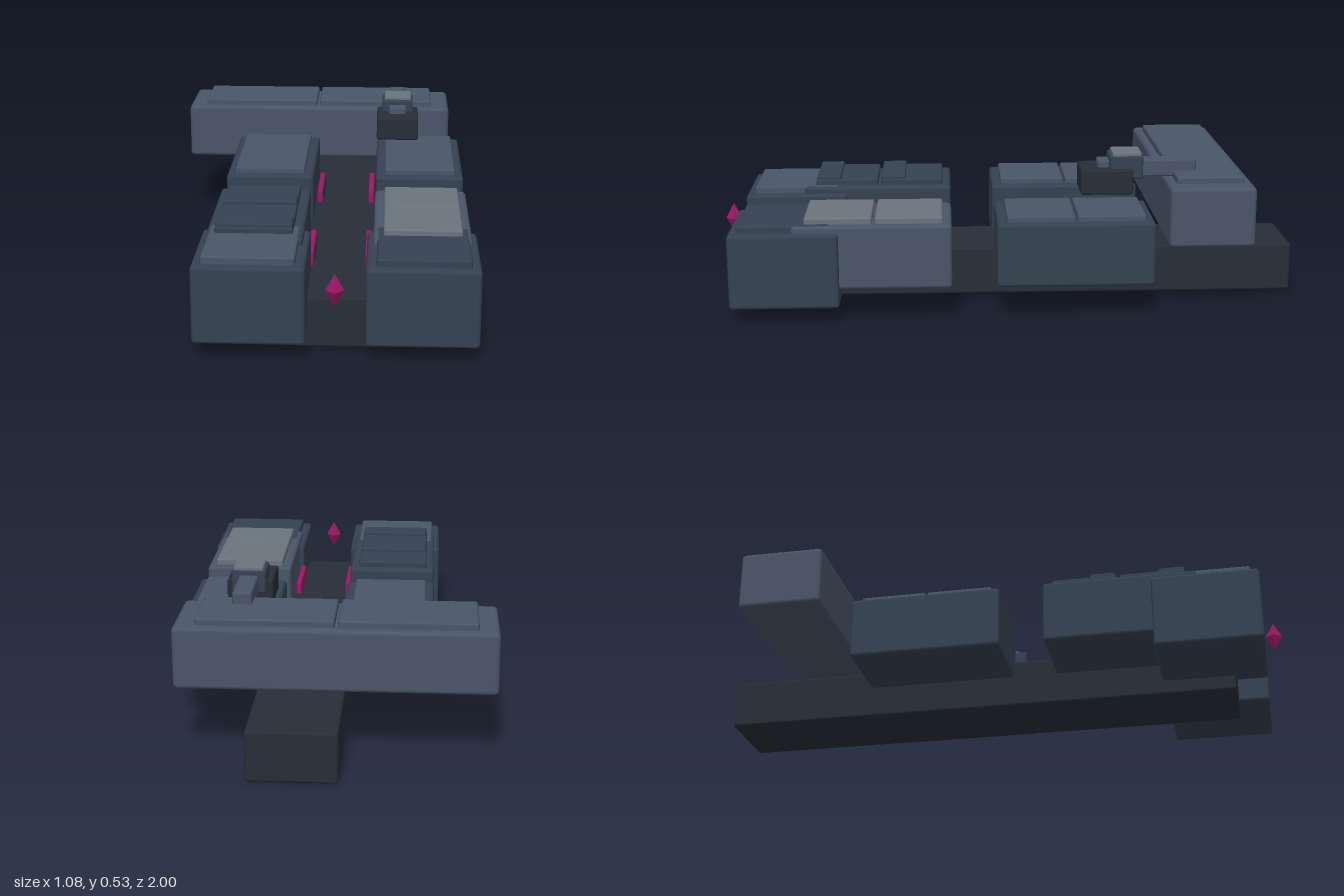
import * as THREE from 'three';
import { RoundedBoxGeometry } from 'three/addons/geometries/RoundedBoxGeometry.js';

const DARK = 0x272e37, SLATE = 0x354252, STEEL = 0x4a5568, GREY = 0x6b737d, PINK = 0x9d1765;
const materials = {};
const paint = (color) => (materials[color] ??= new THREE.MeshStandardMaterial({ color }));

// Chamfered box between two corners, given as [min, max] per axis
function block(parent, name, color, [x0, x1], [y0, y1], [z0, z1], chamfer = 0.012) {
  const geometry = new RoundedBoxGeometry(x1 - x0, y1 - y0, z1 - z0, 1, chamfer);
  const mesh = new THREE.Mesh(geometry, paint(color));
  mesh.position.set((x0 + x1) / 2, (y0 + y1) / 2, (z0 + z1) / 2);
  mesh.name = name;
  parent.add(mesh);
  return mesh;
}

export function createModel() {
  const model = new THREE.Group();
  model.name = 'modularShip';
  const axis = 0.093; // centre line of the hull

  // Central spine
  block(model, 'keel', DARK, [-0.05, 0.24], [0, 0.17], [-1, 0.83], 0.01);

  // Rear cross module with two deck plates
  block(model, 'rearModule', STEEL, [-0.54, 0.485], [0.23, 0.435], [-0.82, -0.53], 0.014);
  for (const x of [-0.475, -0.025]) {
    block(model, 'rearDeckPlate', STEEL, [x, x + 0.44], [0.42, 0.458], [-0.79, -0.56], 0.008);
  }

  // Side modules on both sides of the spine
  for (const side of [-1, 1]) {
    const span = (inner, outer) =>
      side > 0 ? [axis + inner, axis + outer] : [axis - outer, axis - inner];
    const left = side > 0;
    const pod = new THREE.Group();
    pod.name = left ? 'leftModules' : 'rightModules';
    model.add(pod);

    block(pod, 'middleModule', SLATE, span(0.112, 0.427), [0.11, 0.328], [-0.48, 0.05]);
    for (const z of [-0.45, -0.213]) {
      block(pod, 'middleDeckPlate', STEEL, span(0.145, 0.398), [0.315, 0.348], [z, z + 0.23], 0.007);
    }

    block(pod, 'forwardModule', left ? STEEL : SLATE, span(0.112, 0.427), [0.11, 0.328], [0.2, 0.73]);
    for (const z of [0.23, 0.465]) {
      block(pod, 'forwardDeckPlate', left ? GREY : SLATE, span(0.145, 0.398), [0.315, 0.35], [z, z + 0.225], 0.007);
      // Raised steps on one side only
      if (!left) block(pod, 'raisedStep', SLATE, span(0.147, 0.395), [0.335, 0.362], [z + 0.135, z + 0.222], 0.006);
    }

    block(pod, 'bowModule', SLATE, span(0.093, 0.447), [0.05, 0.305], [0.575, 0.94]);
    block(pod, 'bowDeckPlate', left ? SLATE : STEEL, span(0.125, 0.418), [0.29, 0.33], [0.605, 0.91], 0.008);

    // Glowing strips on the inner walls
    for (const z of [-0.34, 0.34]) {
      const [x0, x1] = span(0.085, 0.105);
      block(pod, 'lightStrip', PINK, [x0, x1], [0.178, 0.226], [z, z + 0.24], 0.005);
      for (let i = 0; i < 5; i++) {
        const c = z + 0.036 + i * 0.042;
        block(pod, 'stripWindow', DARK, [x1 - 0.002, x1 + 0.004], [0.19, 0.214], [c - 0.014, c + 0.014], 0.001);
      }
    }
  }

  // Gun turret
  const turret = new THREE.Group();
  turret.name = 'turret';
  block(turret, 'turretBase', DARK, [0.205, 0.36], [0.385, 0.472], [-0.42, -0.24], 0.008);
  block(turret, 'barrel', STEEL, [0.25, 0.315], [0.437, 0.497], [-0.64, -0.3], 0.008);
  block(turret, 'turretHead', SLATE, [0.225, 0.34], [0.435, 0.515], [-0.455, -0.34], 0.008);
  block(turret, 'turretCap', GREY, [0.233, 0.334], [0.505, 0.527], [-0.45, -0.35], 0.006);
  model.add(turret);

  // Floating crystal ahead of the bow
  const crystal = new THREE.Mesh(new THREE.OctahedronGeometry(1), paint(PINK));
  crystal.name = 'crystal';
  crystal.scale.set(0.029, 0.053, 0.029);
  crystal.position.set(axis, 0.25, 0.971);
  model.add(crystal);

  return model;
}
